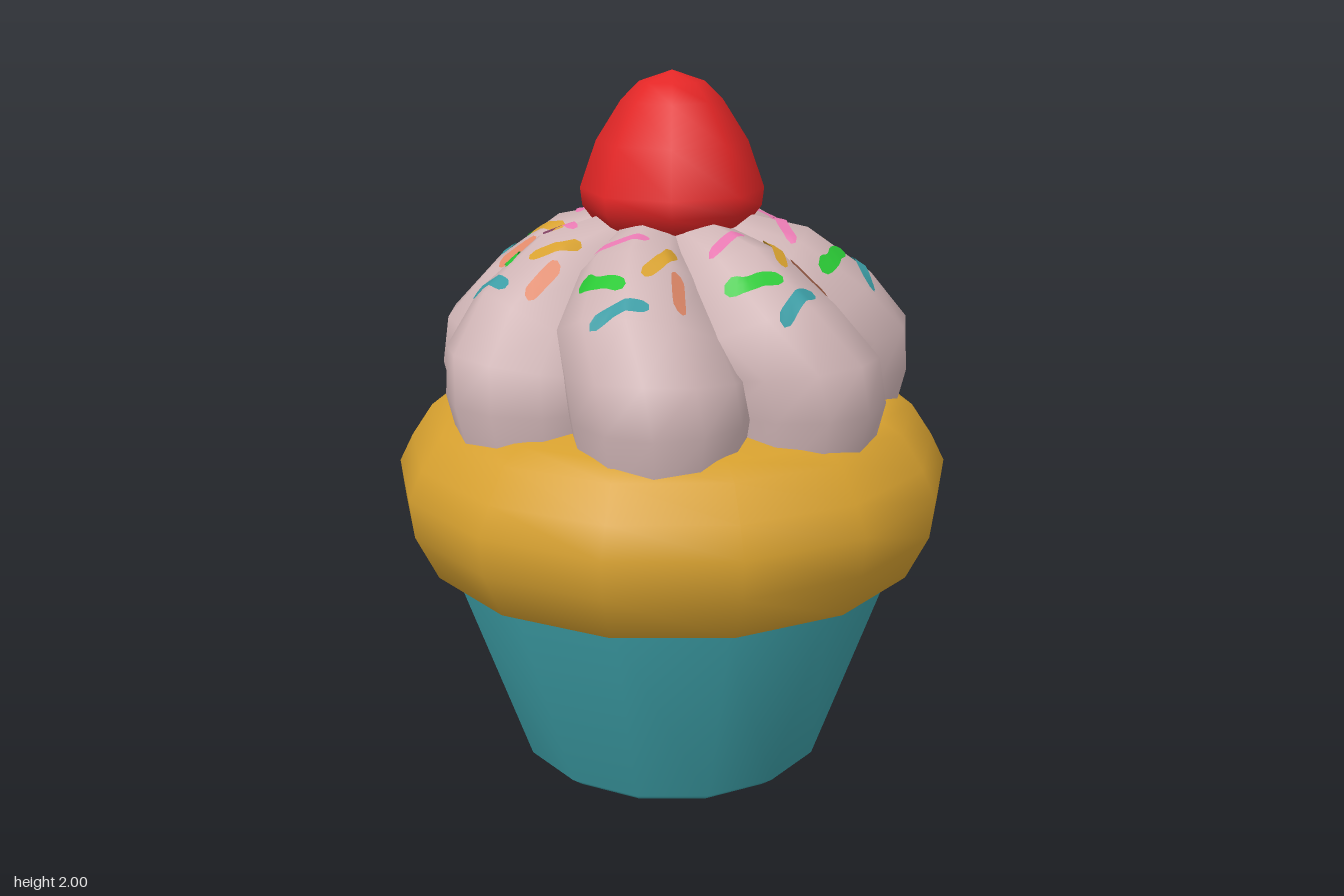
import * as THREE from 'three';

const LOBES = 7;
const DEG = Math.PI / 180;

const material = (name, color, side = THREE.FrontSide) => {
  const m = new THREE.MeshStandardMaterial({ color, side });
  m.name = name;
  return m;
};

const part = (name, geometry, mat) => {
  const mesh = new THREE.Mesh(geometry, mat);
  mesh.name = name;
  return mesh;
};

// Turned part whose first corner lies on the +x axis
const lathe = (profile, sides) =>
  new THREE.LatheGeometry(profile.map(([r, y]) => new THREE.Vector2(r, y)), sides, Math.PI / 2);

// Grid of points (rows of equal length) to a smooth surface
function skin(rows, closed) {
  const n = rows[0].length;
  const index = [];
  for (let i = 0; i < rows.length - 1; i++) {
    for (let j = 0; j < (closed ? n : n - 1); j++) {
      const k = (j + 1) % n;
      const a = i * n + j, b = i * n + k, c = a + n, d = b + n;
      index.push(a, c, b, b, c, d);
    }
  }
  const g = new THREE.BufferGeometry().setFromPoints(rows.flat());
  g.setIndex(index);
  g.computeVertexNormals();
  return g;
}

// One swirled lobe of frosting: oval sections along a path bending to the centre
function lobeGeometry() {
  // radius, height, half width, half thickness, tilt of section, swirl (degrees)
  const sections = [
    [0.42, 1.0, 0.22, 0.235, 0, 0],
    [0.42, 1.16, 0.25, 0.275, 0, 0],
    [0.40, 1.25, 0.25, 0.285, 9, 2],
    [0.33, 1.3, 0.245, 0.27, 31, 8],
    [0.24, 1.39, 0.2, 0.23, 53, 13],
    [0.12, 1.47, 0.13, 0.16, 72, 20],
    [0.0, 1.52, 0.07, 0.1, 90, 25],
  ];
  const sides = 12;
  const rows = sections.map(([r, y, w, h, tilt, swirl]) => {
    const a = (94 + swirl) * DEG;
    return Array.from({ length: sides }, (_, j) => {
      const p = (j / sides) * Math.PI * 2;
      const out = Math.cos(p) * h * (Math.cos(p) < 0 ? 0.6 : 1);
      const radial = r + out * Math.cos(tilt * DEG);
      const across = Math.sin(p) * w;
      return new THREE.Vector3(
        radial * Math.cos(a) - across * Math.sin(a),
        y + out * Math.sin(tilt * DEG),
        radial * Math.sin(a) + across * Math.cos(a));
    });
  });
  return skin(rows, true);
}

// Thin ribbon with rounded ends laid over the frosting
function sprinkleGeometry(path, heightAt) {
  const curve = new THREE.CatmullRomCurve3(path.map(([x, z]) => new THREE.Vector3(x, 0, z)));
  const steps = 10, half = 0.017;
  const rows = [];
  for (let i = 0; i <= steps; i++) {
    const t = i / steps;
    const p = curve.getPointAt(t), d = curve.getTangentAt(t);
    const w = half * Math.sqrt(Math.max(0.15, 1 - Math.pow(Math.abs(2 * t - 1), 8)));
    rows.push([-1, 0, 1].map((s) => {
      const x = p.x - d.z * w * s, z = p.z + d.x * w * s;
      return new THREE.Vector3(x, heightAt(x, z) + 0.007, z);
    }));
  }
  return skin(rows, false);
}

export function createModel() {
  const model = new THREE.Group();
  model.name = 'cupcake';
  const teal = material('teal', 0x3b9ca4, THREE.DoubleSide);
  const golden = material('golden', 0xd6a02f, THREE.DoubleSide);
  const cream = material('pale pink frosting', 0xd0b5b6);
  const red = material('cherry red', 0xe32626);
  const green = material('green', 0x2ac835, THREE.DoubleSide);
  const pink = material('pink', 0xe87ab2, THREE.DoubleSide);
  const salmon = material('salmon', 0xe28a6a, THREE.DoubleSide);

  // Paper cup
  model.add(part('wrapper', lathe(
    [[0, 0], [0.42, 0], [0.458, 0.03], [0.66, 0.61], [0.6, 0.64]], 14), teal));

  // Bulging cake rim
  model.add(part('cake', lathe([
    [0.58, 0.61], [0.645, 0.605], [0.72, 0.64], [0.783, 0.77], [0.795, 0.88],
    [0.755, 0.96], [0.695, 1.05], [0.63, 1.085], [0.45, 1.13], [0, 1.18]], 14), golden));

  // Ring of frosting lobes
  const frosting = new THREE.Group();
  frosting.name = 'frosting';
  const lobe = lobeGeometry();
  for (let i = 0; i < LOBES; i++) {
    const mesh = part('frostingLobe', lobe, cream);
    mesh.rotation.y = (i / LOBES) * Math.PI * 2;
    frosting.add(mesh);
  }
  model.add(frosting);
  frosting.updateMatrixWorld(true);

  // Five sprinkles, repeated on every lobe
  const ray = new THREE.Raycaster();
  const down = new THREE.Vector3(0, -1, 0);
  const heightAt = (x, z) => {
    ray.set(new THREE.Vector3(x, 3, z), down);
    const hit = ray.intersectObject(frosting, true)[0];
    return hit ? hit.point.y : 1.5;
  };
  const sprinkles = [
    ['pinkSprinkle', pink, [[-0.205, 0.292], [-0.13, 0.285], [-0.06, 0.288]]],
    ['greenSprinkle', green, [[-0.237, 0.36], [-0.205, 0.405], [-0.16, 0.43], [-0.122, 0.463]]],
    ['goldenSprinkle', golden, [[0.005, 0.315], [-0.02, 0.37], [-0.075, 0.43]]],
    ['tealSprinkle', teal, [[-0.208, 0.522], [-0.13, 0.517], [-0.058, 0.515]]],
    ['salmonSprinkle', salmon, [[0.014, 0.395], [0.016, 0.45], [0.02, 0.505]]],
  ];
  for (const [name, mat, path] of sprinkles) {
    const geometry = sprinkleGeometry(path, heightAt);
    for (let i = 0; i < LOBES; i++) {
      const mesh = part(name, geometry, mat);
      mesh.rotation.y = (i / LOBES) * Math.PI * 2;
      model.add(mesh);
    }
  }

  // Cherry on top
  model.add(part('cherry', lathe([
    [0, 1.54], [0.13, 1.55], [0.22, 1.59], [0.25, 1.63], [0.256, 1.68],
    [0.21, 1.81], [0.14, 1.92], [0.09, 1.97], [0, 2]], 8), red));

  return model;
}
